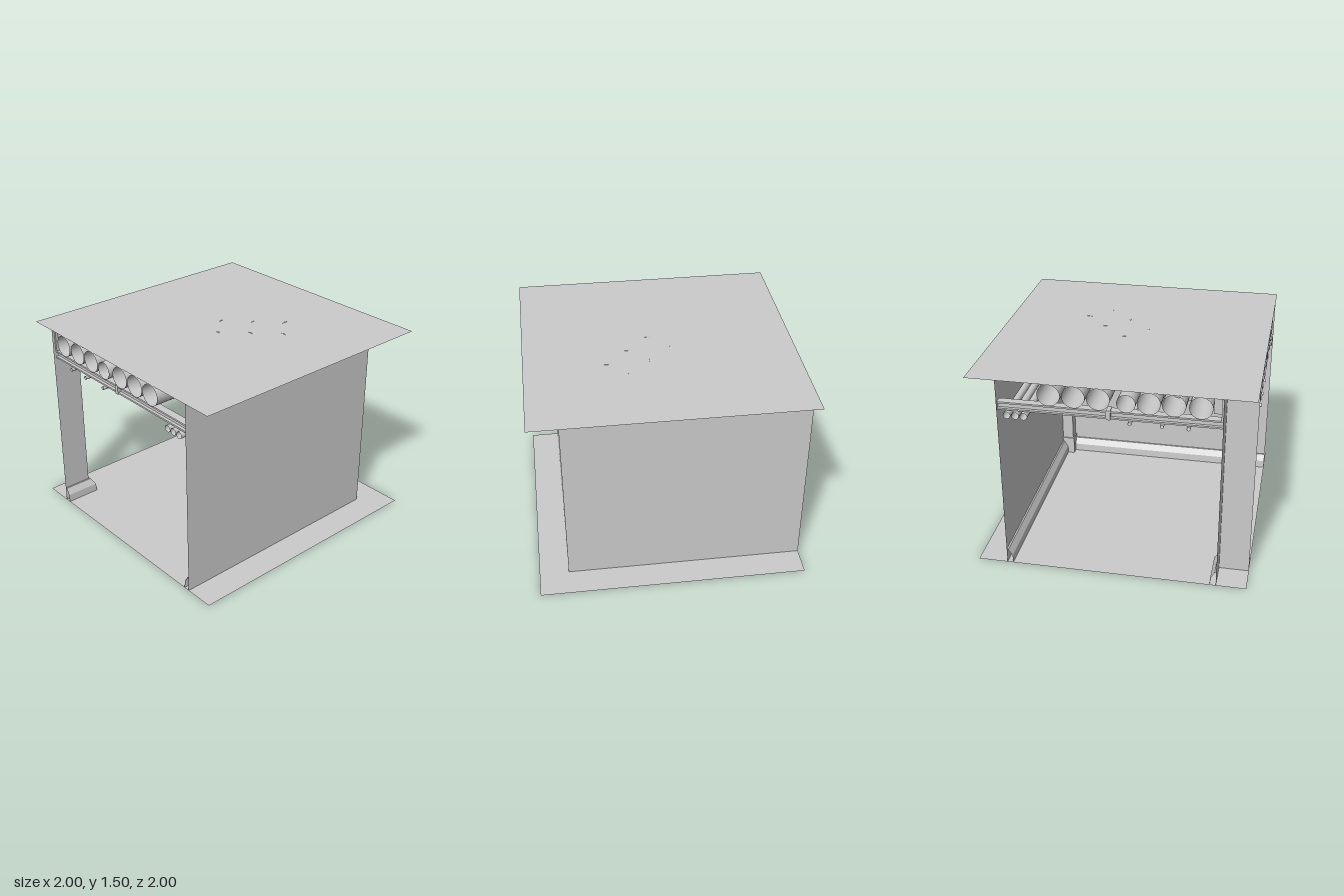
import * as THREE from 'three';

export function createModel() {
  const model = new THREE.Group();
  const mat = new THREE.MeshStandardMaterial({ color: 0xcccccc, side: THREE.DoubleSide });
  const W = 0.78; // distance of the corridor walls from the centre
  const V = (x, y, z) => new THREE.Vector3(x, y, z);

  function add(name, geometry, x = 0, y = 0, z = 0) {
    const mesh = new THREE.Mesh(geometry, mat);
    mesh.name = name;
    mesh.position.set(x, y, z);
    model.add(mesh);
    return mesh;
  }
  // box from min/max ranges
  function box(name, [x0, x1], [y0, y1], [z0, z1]) {
    return add(name, new THREE.BoxGeometry(x1 - x0, y1 - y0, z1 - z0),
      (x0 + x1) / 2, (y0 + y1) / 2, (z0 + z1) / 2);
  }
  // the same box in both arms of the corridor, mirrored over its diagonal
  function boxBoth(name, x, y, z) {
    box(name, x, y, z);
    box(name, [-z[1], -z[0]], y, [-x[1], -x[0]]);
  }
  function pipe(name, r, a, b) {
    add(name, new THREE.TubeGeometry(new THREE.LineCurve3(a, b), 1, r, 24));
  }
  // pipe running in from the front, around the bend and out of the right side
  function bentPipe(name, r, a, y, bend) {
    const path = new THREE.CurvePath();
    const p = V(a, y, -a + bend), q = V(a - bend, y, -a);
    const k = bend * 0.448;
    path.add(new THREE.LineCurve3(V(a, y, 1), p));
    path.add(new THREE.CubicBezierCurve3(p, V(a, y, -a + k), V(a - k, y, -a), q));
    path.add(new THREE.LineCurve3(q, V(-1, y, -a)));
    add(name, new THREE.TubeGeometry(path, 90, r, 24));
  }
  // skirting swept along a wall line; each stop is [x, z, offsetX, offsetZ]
  function skirting(name, stops) {
    const profile = [[0, 0.11], [0.012, 0.11], [0.042, 0.06], [0.045, 0]];
    const pos = [], index = [], n = profile.length;
    for (const [x, z, dx, dz] of stops)
      for (const [d, y] of profile) pos.push(x + dx * d, y, z + dz * d);
    for (let s = 0; s < stops.length - 1; s++)
      for (let i = 0; i < n - 1; i++) {
        const a = s * n + i, b = a + n;
        index.push(a, b, a + 1, b, b + 1, a + 1);
      }
    let g = new THREE.BufferGeometry();
    g.setAttribute('position', new THREE.Float32BufferAttribute(pos, 3));
    g.setIndex(index);
    g = g.toNonIndexed();
    g.computeVertexNormals();
    add(name, g);
  }

  // floor and ceiling sheets
  for (const [name, y] of [['floor', 0], ['ceiling', 1.5]])
    add(name, new THREE.PlaneGeometry(2, 2).rotateX(-Math.PI / 2), 0, y, 0);

  // walls: two long outer ones and the short inner corner
  function wall(name, x0, z0, x1, z1) {
    const g = new THREE.PlaneGeometry(Math.hypot(x1 - x0, z1 - z0), 1.5);
    add(name, g, (x0 + x1) / 2, 0.75, (z0 + z1) / 2).rotation.y = -Math.atan2(z1 - z0, x1 - x0);
  }
  wall('backWall', -1, -W, W, -W);
  wall('leftWall', W, -W, W, 1);
  wall('innerWallSide', -W, 1, -W, W);
  wall('innerWallFront', -W, W, -1, W);

  // skirting boards
  skirting('outerSkirting', [[-1, -W, 0, 1], [W, -W, -1, 1], [W, 1, -1, 0]]);
  skirting('innerSkirting', [[-W, 1, 1, 0], [-W, W, 1, -1], [-1, W, 0, -1]]);

  // three large pipes with flanged elbows
  for (const a of [0.065, 0.237, 0.408]) {
    bentPipe('largePipe', 0.08, a, 1.42, 0.155);
    add('elbowFlange', new THREE.CylinderGeometry(0.084, 0.084, 0.012, 24).rotateX(Math.PI / 2),
      a, 1.42, -a + 0.155);
    add('elbowFlange', new THREE.CylinderGeometry(0.084, 0.084, 0.012, 24).rotateZ(Math.PI / 2),
      a - 0.155, 1.42, -a);
  }
  bentPipe('mediumPipe', 0.065, -0.125, 1.405, 0.13);

  // drum joining the three inner pipes
  add('junctionDrum', new THREE.CylinderGeometry(0.265, 0.265, 0.172, 48), -0.45, 1.411, 0.45);
  for (const a of [-0.63, -0.45, -0.28]) {
    pipe('drumPipe', 0.08, V(a, 1.42, 1), V(a, 1.42, 0.5));
    pipe('drumPipe', 0.08, V(-1, 1.42, -a), V(-0.5, 1.42, -a));
  }

  // thin conduits below the beams
  for (const a of [-0.55, -0.37, -0.15]) bentPipe('conduit', 0.013, a, 1.257, 0.06);
  // small pipes along the outer walls
  for (const a of [0.59, 0.65, 0.71]) bentPipe('wallPipe', 0.026, a, 1.24, 0.07);

  // I-shaped support beams across both openings, with a joint and a hanger
  boxBoth('beamTop', [-W, W], [1.318, 1.33], [0.92, 0.98]);
  boxBoth('beamWeb', [-W, W], [1.282, 1.318], [0.943, 0.957]);
  boxBoth('beamBottom', [-W, W], [1.27, 1.282], [0.92, 0.98]);
  boxBoth('beamJoint', [-0.015, 0.015], [1.265, 1.335], [0.915, 0.985]);
  boxBoth('beamHanger', [-W, -0.71], [1.37, 1.5], [0.94, 0.96]);
  boxBoth('beamHangerWeb', [-W, -0.765], [1.33, 1.5], [0.92, 0.98]);

  // corner shelf with three risers to the ceiling
  box('cornerShelf', [0.55, W], [1.335, 1.365], [-W, -0.55]);
  for (const [a, r] of [[0.575, 0.014], [0.66, 0.028], [0.725, 0.02]])
    pipe('riser', r, V(a, 1.365, -a), V(a, 1.5, -a));

  // down pipe with its top elbow and the corner housing
  const drop = new THREE.CurvePath();
  drop.add(new THREE.LineCurve3(V(0.735, 0.36, -0.735), V(0.735, 1.19, -0.735)));
  drop.add(new THREE.QuadraticBezierCurve3(V(0.735, 1.19, -0.735), V(0.735, 1.235, -0.735), V(0.69, 1.24, -0.69)));
  add('downPipe', new THREE.TubeGeometry(drop, 48, 0.026, 20));
  add('downPipeCollar', new THREE.CylinderGeometry(0.031, 0.031, 0.02, 20), 0.735, 1.19, -0.735);
  box('cornerHousing', [0.69, W], [0.14, 0.37], [-W, -0.69]);
  box('cornerHousingBase', [0.68, W], [0, 0.145], [-W, -0.68]);

  return model;
}
